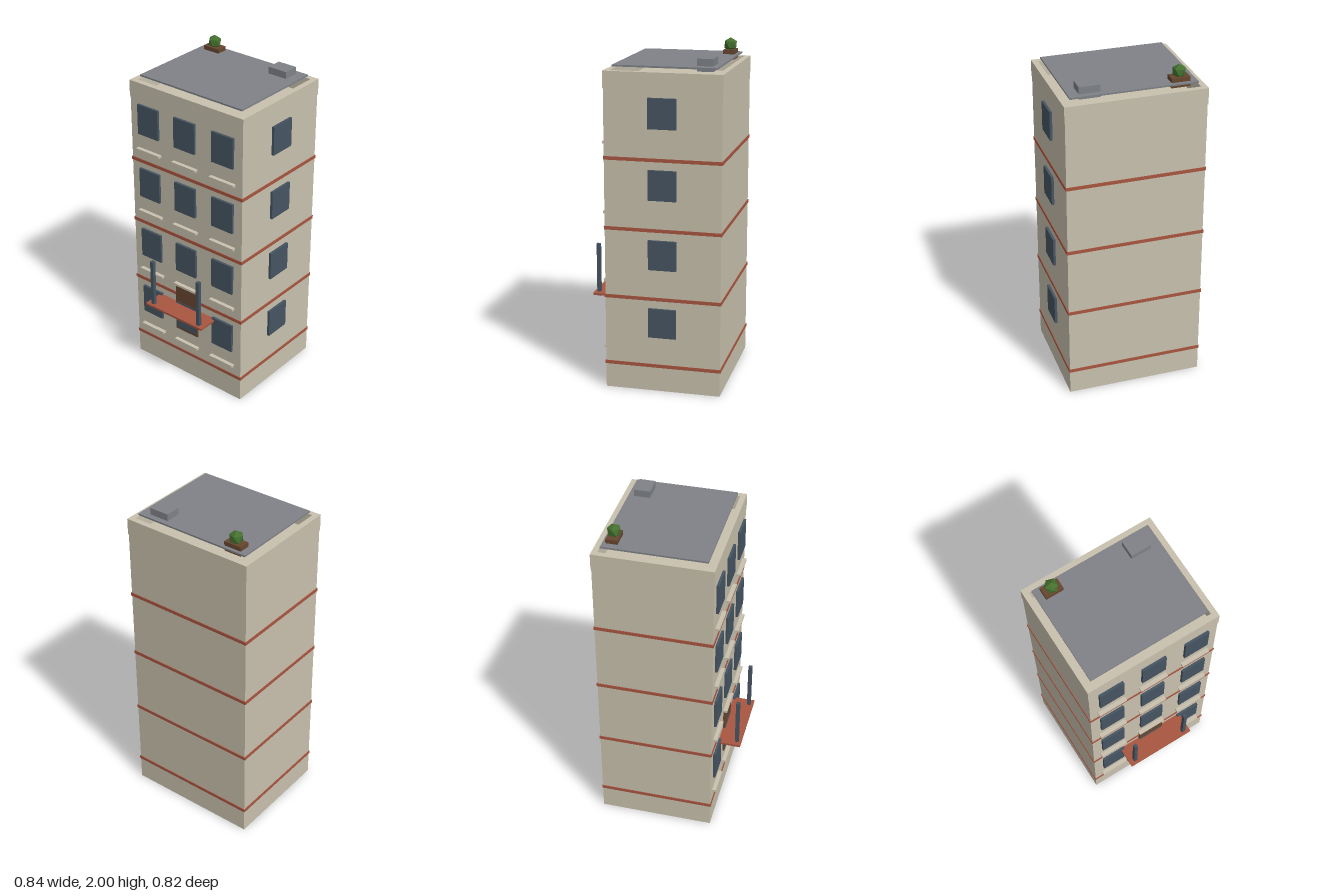
import * as THREE from 'three';

const mat = (name, color) => Object.assign(new THREE.MeshStandardMaterial({ color }), { name });

export function createModel() {
  const wall = mat('stone', 0xc9c1ae);
  const brick = mat('brick red', 0xa85640);
  const glass = mat('dark glass', 0x465562);
  const wood = mat('brown wood', 0x67472f);
  const roofing = mat('roof grey', 0x7f8287);
  const leaf = mat('leaf green', 0x44702e);

  const model = new THREE.Group();
  model.name = 'building';

  // Box given by its limits on each axis
  const box = (name, material, [x0, x1], [y0, y1], [z0, z1]) => {
    const mesh = new THREE.Mesh(new THREE.BoxGeometry(x1 - x0, y1 - y0, z1 - z0), material);
    mesh.position.set((x0 + x1) / 2, (y0 + y1) / 2, (z0 + z1) / 2);
    mesh.name = name;
    model.add(mesh);
    return mesh;
  };

  const cx = -0.007, cz = -0.068;
  const xs = (half) => [cx - half, cx + half];
  const zs = (half) => [cz - half, cz + half];

  // Main block
  box('body', wall, xs(0.408), [0, 1.785], zs(0.341));

  // Parapet: a rectangular ring around the roof
  const rect = (P, w, d) => {
    const p = new P();
    p.moveTo(-w, -d).lineTo(w, -d).lineTo(w, d).lineTo(-w, d).closePath();
    return p;
  };
  const ring = rect(THREE.Shape, 0.411, 0.344);
  ring.holes.push(rect(THREE.Path, 0.377, 0.31));
  const parapetGeo = new THREE.ExtrudeGeometry(ring, { depth: 0.097, bevelEnabled: false });
  parapetGeo.rotateX(-Math.PI / 2);
  const parapet = new THREE.Mesh(parapetGeo, wall);
  parapet.name = 'parapet';
  parapet.position.set(cx, 1.78, cz);
  model.add(parapet);

  // Storeys: band, front windows with sills, side window
  for (let i = 0; i < 4; i++) {
    const y = 0.155 + i * 0.4093;
    box('floorBand', brick, xs(0.412), [y - 0.01, y + 0.01], zs(0.345));
    for (const x of [-0.278, -0.008, 0.266]) {
      box('frontWindow', glass, [x - 0.076, x + 0.076], [y + 0.178, y + 0.364], [0.265, 0.288]);
      box('windowSill', wall, [x - 0.088, x + 0.088], [y + 0.071, y + 0.085], [0.265, 0.297]);
    }
    box('sideWindow', glass, [0.39, 0.416], [y + 0.178, y + 0.353], [-0.15, 0.014]);
  }

  // Entrance with canopy and its two posts
  box('door', wood, [-0.09, 0.076], [0.318, 0.63], [0.265, 0.285]);
  box('canopy', brick, [-0.224, 0.211], [0.494, 0.507], [0.265, 0.408]);
  for (const x of [-0.184, 0.17]) {
    box('canopyPost', glass, [x - 0.011, x + 0.011], [0.481, 0.806], [0.37, 0.392]);
  }

  // Roof slab and the vent box on it
  box('roofSlab', roofing, xs(0.367), [1.896, 1.906], zs(0.3));
  box('roofVent', roofing, [0.177, 0.3], [1.875, 1.947], [-0.335, -0.24]);

  // Planter with a faceted bush
  box('planter', wood, [-0.333, -0.224], [1.875, 1.931], [-0.349, -0.281]);
  const bushGeo = new THREE.IcosahedronGeometry(0.042, 0);
  bushGeo.rotateZ(Math.atan(2 / (1 + Math.sqrt(5))));
  const bush = new THREE.Mesh(bushGeo, leaf);
  bush.name = 'bush';
  bush.position.set(-0.278, 1.958, -0.315);
  model.add(bush);

  return model;
}
